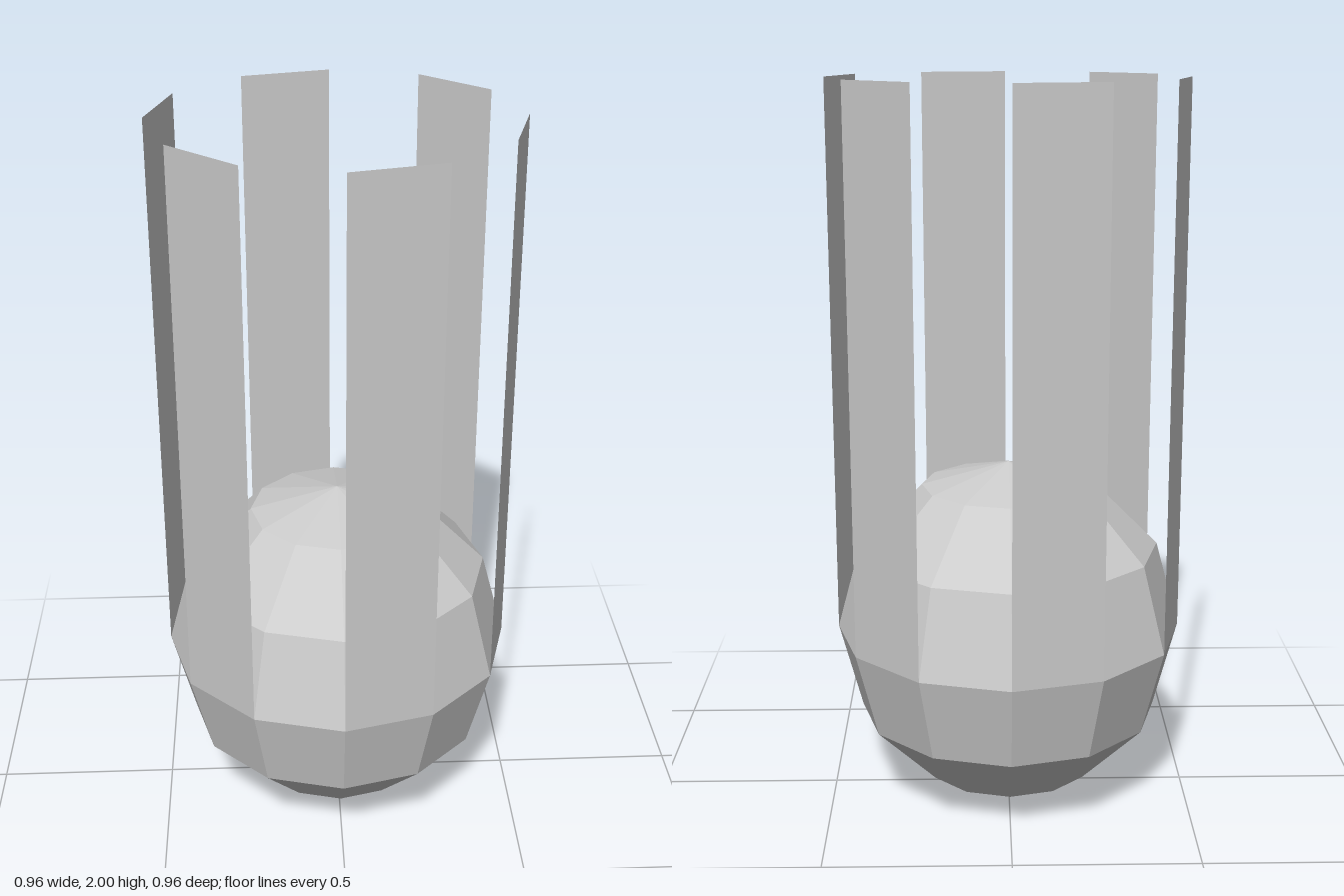
import * as THREE from 'three';

const RADIUS = 0.481;
const TOP = 2;
const SIDES = 12;

export function createModel() {
  const group = new THREE.Group();
  const material = new THREE.MeshStandardMaterial({ color: 0xcccccc, flatShading: true });
  const thin = material.clone();
  thin.side = THREE.DoubleSide;

  // Low-poly ball at the base
  const ball = new THREE.Mesh(new THREE.SphereGeometry(RADIUS, SIDES, 6), material);
  ball.name = 'ball';
  ball.position.y = RADIUS;
  group.add(ball);

  // Six thin upright slats: every other facet of a tube rising from the ball's equator
  const height = TOP - RADIUS;
  const step = (Math.PI * 2) / SIDES;
  const slats = new THREE.Group();
  slats.name = 'slats';
  for (let i = 0; i < SIDES; i += 2) {
    const slat = new THREE.Mesh(
      new THREE.CylinderGeometry(RADIUS, RADIUS, height, 1, 1, true, i * step, step), thin);
    slat.name = 'slat' + (i / 2 + 1);
    slat.position.y = RADIUS + height / 2;
    slats.add(slat);
  }
  group.add(slats);
  return group;
}
